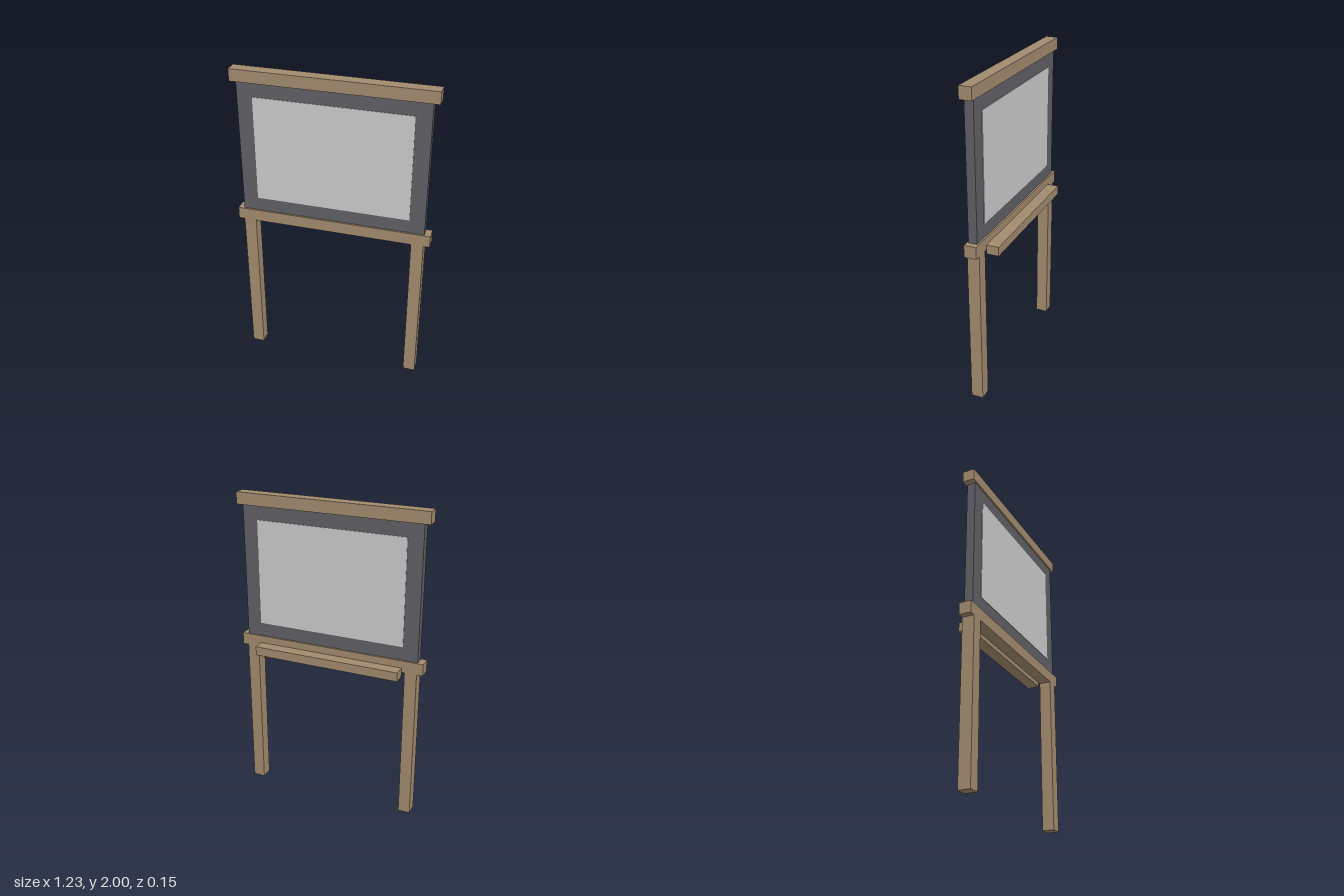
import * as THREE from 'three';

export function createModel() {
  const model = new THREE.Group();
  const wood = new THREE.MeshStandardMaterial({ color: 0xa28b6e });
  const dark = new THREE.MeshStandardMaterial({ color: 0x606065 });
  const grey = new THREE.MeshStandardMaterial({ color: 0xcccccc });

  // Box given by its extents on each axis
  function box(name, material, [x0, x1], [y0, y1], [z0, z1]) {
    const mesh = new THREE.Mesh(new THREE.BoxGeometry(x1 - x0, y1 - y0, z1 - z0), material);
    mesh.position.set((x0 + x1) / 2, (y0 + y1) / 2, (z0 + z1) / 2);
    mesh.name = name;
    model.add(mesh);
  }

  const depth = [0, 0.077];

  // Posts
  box('leftLeg', wood, [0.5, 0.577], [0, 1.002], depth);
  box('rightLeg', wood, [-0.577, -0.5], [0, 1.002], depth);

  // Horizontal beams holding the board
  box('lowerBeam', wood, [-0.615, 0.615], [1.002, 1.078], depth);
  box('topBeam', wood, [-0.615, 0.615], [1.925, 2], depth);

  // Dark board with a pale panel standing slightly proud on both faces
  box('boardFrame', dark, [-0.577, 0.577], [1.078, 1.925], [0.011, 0.066]);
  box('frontPanel', grey, [-0.481, 0.481], [1.165, 1.838], [0.06, 0.069]);
  box('backPanel', grey, [-0.481, 0.481], [1.165, 1.838], [0.008, 0.017]);

  // Ledge behind the lower beam
  box('ledge', wood, [-0.481, 0.481], [0.973, 1.031], [-0.077, 0]);

  return model;
}
